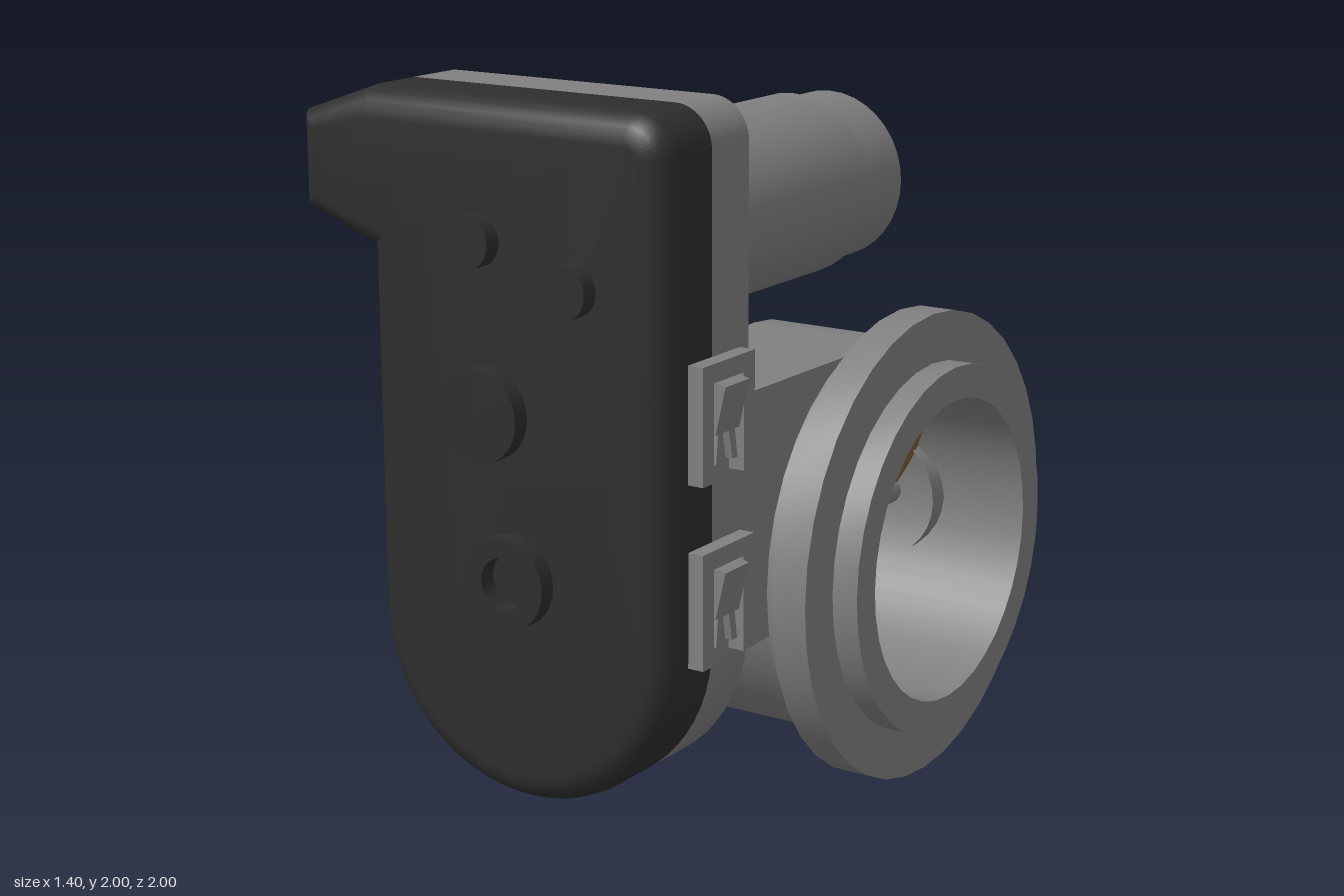
import * as THREE from 'three';
import { toCreasedNormals } from 'three/addons/utils/BufferGeometryUtils.js';

const BORE_Y = 0.665, BORE_Z = -0.14, SHAFT_X = 0.25;

export function createModel() {
  const model = new THREE.Group();
  model.name = 'throttleBody';
  const metal = new THREE.MeshStandardMaterial({ color: 0x808080 });
  metal.name = 'cast grey';
  const plastic = new THREE.MeshStandardMaterial({ color: 0x2e2e2e });
  plastic.name = 'black plastic';
  const brass = new THREE.MeshStandardMaterial({ color: 0x846638 });
  brass.name = 'brass';

  const add = (name, geometry, material, x = 0, y = 0, z = 0) => {
    const mesh = new THREE.Mesh(geometry, material);
    mesh.name = name;
    mesh.position.set(x, y, z);
    model.add(mesh);
    return mesh;
  };
  const lathe = (points, segments = 36) => toCreasedNormals(
    new THREE.LatheGeometry(points.map(([r, h]) => new THREE.Vector2(r, h)), segments), 0.4);
  const polygon = (points, Type = THREE.Shape) => new Type(points.map(([x, y]) => new THREE.Vector2(x, y)));

  // Bore: one closed profile turned around the x axis
  const bore = lathe([
    [0.43, -0.355], [0.51, -0.355], [0.565, -0.29], [0.565, -0.265], [0.53, -0.235],
    [0.53, 0.02], [0.567, 0.04], [0.567, 0.47], [0.605, 0.47], [0.605, 0.52],
    [0.665, 0.52], [0.665, 0.625], [0.525, 0.625], [0.525, 0.7], [0.43, 0.7], [0.43, -0.355],
  ]);
  bore.rotateZ(-Math.PI / 2);
  add('bore', bore, metal, 0, BORE_Y, BORE_Z);

  // Mounting block between bore and gear housing, hollowed to clear the bore
  const block = new THREE.Shape();
  block.moveTo(0.57, 0.54);
  block.lineTo(0.57, 1.235);
  block.lineTo(BORE_Z, 1.23);
  block.absarc(BORE_Z, BORE_Y, 0.5, Math.PI / 2, Math.asin(-0.125 / 0.5), true);
  block.closePath();
  const blockGeometry = new THREE.ExtrudeGeometry(block, { depth: 0.43, bevelEnabled: false, curveSegments: 16 });
  blockGeometry.rotateY(-Math.PI / 2); // shape x becomes z, depth becomes -x
  add('mountingBlock', blockGeometry, metal, 0.47, 0, 0);

  // Throttle plate, shaft and screws share the tilted frame of the shaft
  const throttle = new THREE.Group();
  throttle.name = 'throttle';
  throttle.position.set(SHAFT_X, BORE_Y, BORE_Z);
  throttle.rotation.z = -0.61;
  model.add(throttle);
  const plate = add('throttlePlate', new THREE.CylinderGeometry(0.428, 0.428, 0.02, 36), brass);
  plate.rotation.z = Math.PI / 2;
  const shaft = add('throttleShaft', new THREE.CylinderGeometry(0.042, 0.042, 0.87, 20), metal);
  shaft.rotation.x = Math.PI / 2;
  throttle.add(plate, shaft);
  for (const z of [0.14, -0.14]) {
    const screw = add('plateScrew', new THREE.CylinderGeometry(0.035, 0.035, 0.11, 12), metal, 0.02, 0, z);
    screw.rotation.z = Math.PI / 2;
    throttle.add(screw);
  }

  // Shaft bearing nozzle at the back, with a stepped socket
  const nozzle = lathe([
    [0.19, 0.5], [0.178, 0.99], [0.172, 1], [0.11, 1], [0.11, 0.95], [0.065, 0.95], [0.065, 0.85], [0, 0.85],
  ], 28);
  nozzle.rotateX(-Math.PI / 2);
  add('bearingNozzle', nozzle, metal, SHAFT_X, 0.67, 0);

  // Motor housing pointing backwards
  const motor = lathe([
    [0.28, -0.57], [0.28, -0.52], [0.257, -0.52], [0.257, 0.2], [0.25, 0.212],
    [0.24, 0.212], [0.24, 0.4], [0.205, 0.44], [0, 0.44],
  ]);
  motor.rotateX(-Math.PI / 2);
  add('motorHousing', motor, metal, 0.13, 1.635, 0);

  // Gear housing outline, with the connector beak at upper right
  const outline = new THREE.Shape();
  outline.moveTo(0.47, 0.6);
  outline.lineTo(0.47, 1.89);
  outline.absarc(0.36, 1.89, 0.11, 0, Math.PI / 2, false);
  outline.lineTo(-0.47, 2);
  outline.lineTo(-0.7, 1.92);
  outline.lineTo(-0.7, 1.655);
  outline.lineTo(-0.47, 1.575);
  outline.lineTo(-0.47, 0.6);
  outline.absarc(0, 0.6, 0.47, Math.PI, Math.PI * 2, false);
  add('gearHousing', toCreasedNormals(
    new THREE.ExtrudeGeometry(outline, { depth: 0.17, bevelEnabled: false, curveSegments: 16 }), 0.4), metal, 0, 0, 0.56);
  // The rear bevel of the cover is buried in the gear housing
  add('cover', toCreasedNormals(new THREE.ExtrudeGeometry(outline, {
    depth: 0.14, bevelThickness: 0.08, bevelSize: 0.08, bevelOffset: -0.08, bevelSegments: 5, curveSegments: 16,
  }), 0.5), plastic, 0, 0, 0.73);

  // Bosses on the cover face
  for (const [x, y, r] of [[-0.1, 1.64, 0.07], [0.2, 1.545, 0.07], [-0.075, 1.19, 0.125]]) {
    const boss = add('coverBoss', new THREE.CylinderGeometry(r, r, 0.06, 28), plastic, x, y, 0.97);
    boss.rotation.x = Math.PI / 2;
  }
  const ring = lathe([[0.125, 0.94], [0.125, 1], [0.07, 1], [0.07, 0.94]], 28);
  ring.rotateX(Math.PI / 2);
  add('coverRing', ring, plastic, 0, 0.752, 0);

  // Spring clips: a slotted frame with a sprung tongue, two on each side
  const frame = polygon([
    [0.6, 0], [0.6, 0.31], [0.84, 0.31], [0.84, 0], [0.79, 0], [0.79, 0.26], [0.65, 0.26], [0.65, 0],
  ]);
  const frameGeometry = new THREE.ExtrudeGeometry(frame, { depth: 0.05, bevelEnabled: false });
  frameGeometry.rotateY(-Math.PI / 2);
  frameGeometry.translate(0.05, 0, 0);
  const tongue = polygon([
    [0.765, 0.04], [0.745, 0.215], [0.695, 0.215], [0.665, 0.04], [0.69, 0.04], [0.71, 0.14], [0.733, 0.14], [0.745, 0.04],
  ]);
  const tongueGeometry = new THREE.ExtrudeGeometry(tongue, { depth: 0.02, bevelEnabled: false });
  tongueGeometry.rotateY(-Math.PI / 2);
  const barb = new THREE.ExtrudeGeometry(
    polygon([[0.03, 0.12], [0.045, 0.12], [0.075, 0.25], [0.04, 0.26]]), { depth: 0.11, bevelEnabled: false });
  for (const y of [1.055, 0.567]) {
    for (const side of [1, -1]) {
      const clip = new THREE.Group();
      clip.name = 'clip';
      clip.position.set(side * 0.465, y, 0);
      if (side < 0) {
        clip.rotation.y = Math.PI;
        clip.position.z = 1.44;
      }
      clip.add(
        add('clipFrame', frameGeometry, metal),
        add('clipTongue', tongueGeometry, metal, 0.04, 0, 0),
        add('clipBarb', barb, metal, 0, 0, 0.665));
      model.add(clip);
    }
  }
  return model;
}
